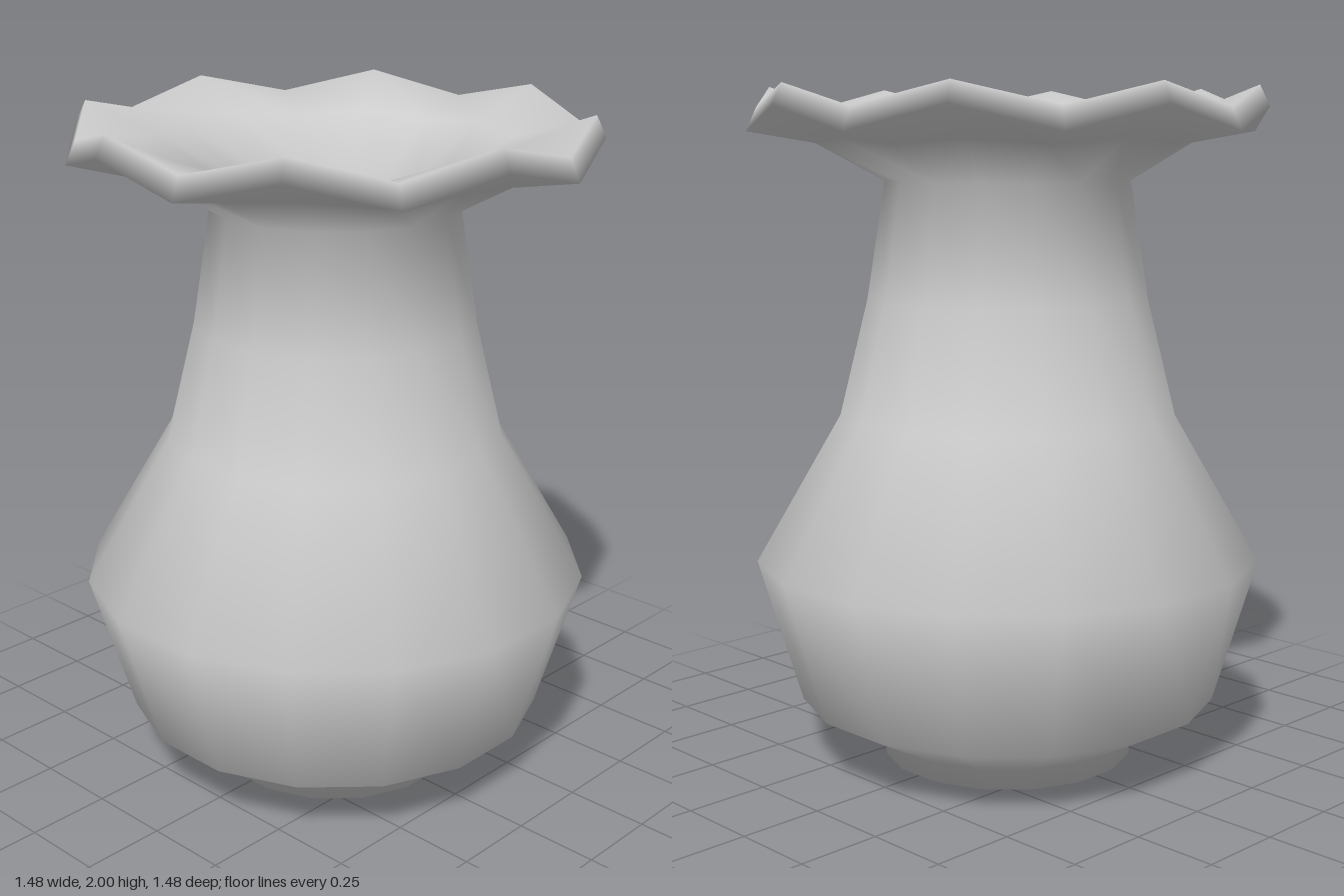
import * as THREE from 'three';
import { mergeVertices } from 'three/addons/utils/BufferGeometryUtils.js';

const SIDES = 16;

// [radius, height, rim ripple]
const PROFILE = [
  // underside, foot and outer wall
  [0, 0, 0], [0.376, 0, 0], [0.376, 0.06, 0], [0.625, 0.19, 0], [0.752, 0.62, 0],
  [0.5, 1.05, 0], [0.416, 1.39, 0], [0.362, 1.73, 0],
  // flared lip, rippled towards its edge
  [0.56, 1.845, 0.008], [0.754, 1.905, 0.035], [0.725, 1.968, 0.032], [0.52, 1.9, 0.008],
  // hollow inside
  [0.282, 1.75, 0], [0.336, 1.39, 0], [0.42, 1.07, 0], [0.66, 0.62, 0], [0.54, 0.25, 0],
  [0.3, 0.12, 0], [0, 0.1, 0],
];

function vaseGeometry() {
  const points = PROFILE.map(([r, y]) => new THREE.Vector2(r, y));
  const lathe = new THREE.LatheGeometry(points, SIDES, Math.PI / SIDES);
  const pos = lathe.attributes.position;

  // raise and lower every other corner of the lip
  for (let side = 0; side <= SIDES; side++) {
    const sign = side % 2 ? 1 : -1;
    PROFILE.forEach(([, y, ripple], ring) => {
      pos.setY(side * PROFILE.length + ring, y + sign * ripple);
    });
  }

  // weld the seam for smooth shading all round
  lathe.deleteAttribute('uv');
  lathe.deleteAttribute('normal');
  const geometry = mergeVertices(lathe, 1e-4);
  geometry.computeVertexNormals();
  return geometry;
}

export function createModel() {
  const group = new THREE.Group();
  group.name = 'vase';
  const body = new THREE.Mesh(
    vaseGeometry(),
    new THREE.MeshStandardMaterial({ color: 0xcccccc })
  );
  body.name = 'vaseBody';
  group.add(body);
  return group;
}
